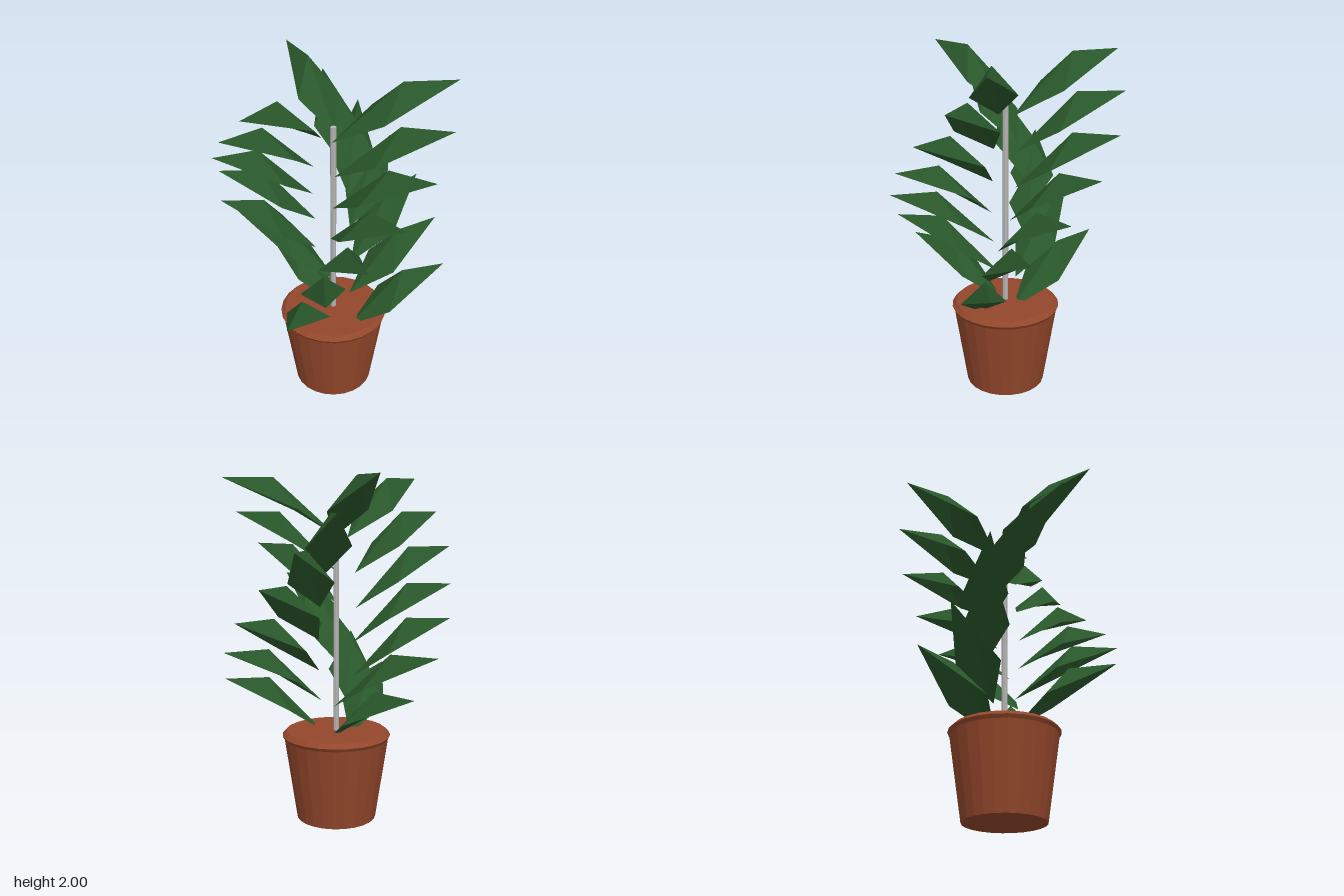
import * as THREE from 'three';

const rad = THREE.MathUtils.degToRad;

// Leaf pointing along +x, tip at height 0: a raised fold between two side corners.
// The nudge [along, across] shifts the foot, and the blade less, so leaves vary.
function leafGeometry([along, across]) {
  const point = (x, y, z, weight) => [x + along * weight, y, z + across * weight];
  const base = point(0.06, -0.34, 0.06, 1);
  const fold = point(0.39, 0, 0.03, 0.4);
  const left = point(0.3, -0.19, 0.17, 0.6);
  const right = point(0.25, -0.18, -0.085, 0.6);
  const tip = point(0.657, 0, 0, 0);
  const faces = [
    [base, left, fold], [left, tip, fold],
    [fold, tip, right], [base, fold, right],
  ];
  const geometry = new THREE.BufferGeometry();
  geometry.setAttribute('position', new THREE.Float32BufferAttribute(faces.flat(2), 3));
  geometry.computeVertexNormals();
  return geometry;
}

// Three rows of leaves climbing the stem: angle of each leaf row and nudge per level
const rows = [
  {
    angle: () => 45,
    nudges: [[0.04, 0.08], [0, 0.05], [0, 0.03], [0.025, 0], [0.025, 0.01], [0, 0], [-0.025, -0.03]],
  },
  {
    angle: () => 158.7,
    nudges: [[0, 0], [0, 0], [0, 0], [0, 0], [-0.02, 0], [-0.035, 0], [-0.07, -0.02]],
  },
  {
    angle: (level) => (level < 3 ? 272.5 : 291.5),
    nudges: [[-0.05, 0], [-0.04, 0], [0.06, 0.04], [0.06, 0.05], [0.04, 0.05], [0.01, 0.04], [-0.03, 0]],
  },
];

export function createModel() {
  const clay = new THREE.MeshStandardMaterial({ color: 0x93472b, flatShading: true });
  clay.name = 'terracotta';
  const green = new THREE.MeshStandardMaterial({ color: 0x29572a, flatShading: true, side: THREE.DoubleSide });
  green.name = 'leaf green';
  const grey = new THREE.MeshStandardMaterial({ color: 0xb4b2b2, flatShading: true });
  grey.name = 'stem grey';

  const plant = new THREE.Group();
  plant.name = 'pottedPlant';

  // Tapered pot with a bevelled rim and a flat top
  const profile = [[0, 0], [0.235, 0], [0.308, 0.485], [0.32, 0.505], [0.295, 0.53], [0, 0.53]];
  const pot = new THREE.Mesh(
    new THREE.LatheGeometry(profile.map(([r, y]) => new THREE.Vector2(r, y)), 24), clay);
  pot.name = 'pot';
  plant.add(pot);

  // Thin stem
  const stem = new THREE.Mesh(new THREE.CylinderGeometry(0.017, 0.017, 1.235, 8), grey);
  stem.name = 'stem';
  stem.position.y = 1.1175;
  plant.add(stem);

  // Seven whorls of three leaves, each turned a little from the one below
  const leaves = new THREE.Group();
  leaves.name = 'leaves';
  const turn = 18.8;
  rows.forEach(({ angle, nudges }, row) => {
    nudges.forEach((nudge, level) => {
      const leaf = new THREE.Mesh(leafGeometry(nudge), green);
      leaf.name = `leaf${level + 1}_${row + 1}`;
      leaf.position.y = 0.83 + level * 0.195;
      leaf.rotation.y = -rad(angle(level) - turn * level);
      leaves.add(leaf);
    });
  });
  plant.add(leaves);

  return plant;
}
